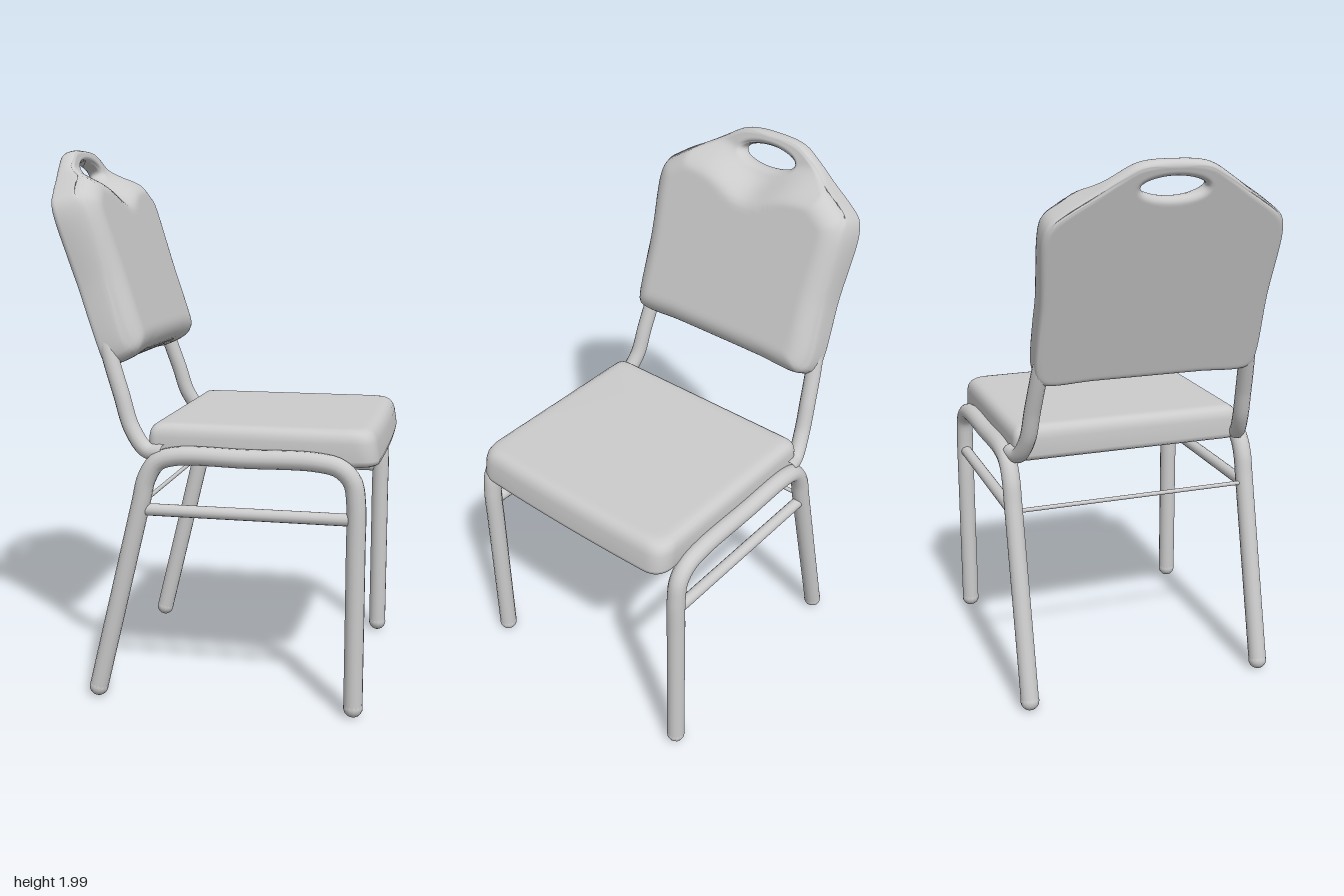
import * as THREE from 'three';

const grey = new THREE.MeshStandardMaterial({ color: 0xcccccc });

// Smooth skin over a list of rings with equal point counts; closed joins the last ring to the first
function skin(rings, closed) {
  const n = rings[0].length, index = [];
  for (let j = 0; j < rings.length - (closed ? 0 : 1); j++) {
    const k = (j + 1) % rings.length;
    for (let i = 0; i < n; i++) {
      const m = (i + 1) % n;
      index.push(j * n + i, k * n + i, k * n + m, j * n + i, k * n + m, j * n + m);
    }
  }
  const geometry = new THREE.BufferGeometry();
  geometry.setAttribute('position', new THREE.Float32BufferAttribute(rings.flat(2), 3));
  geometry.setIndex(index);
  geometry.computeVertexNormals();
  return geometry;
}

// Quarter-ellipse rise from 0 to 1 over the given radius
const round = (e, radius) => Math.sqrt(1 - (1 - Math.min(e / radius, 1)) ** 2);

// Seat cushion: rounded plan with a bowed front, swept through an edge profile with a recessed underside
function seatGeometry() {
  const [x0, x1, w, r0, r1] = [-0.21, 0.614, 0.447, 0.04, 0.08];
  const plan = new THREE.Shape();
  plan.moveTo(x0 + r0, -w);
  plan.lineTo(x1 - r1, -w);
  plan.quadraticCurveTo(x1, -w, x1, -w + r1);
  plan.quadraticCurveTo(x1 + 0.014, 0, x1, w - r1);
  plan.quadraticCurveTo(x1, w, x1 - r1, w);
  plan.lineTo(x0 + r0, w);
  plan.quadraticCurveTo(x0, w, x0, w - r0);
  plan.lineTo(x0, -w + r0);
  plan.quadraticCurveTo(x0, -w, x0 + r0, -w);
  const loop = plan.getPoints(8).slice(0, -1);
  const cx = (x0 + x1) / 2, half = 0.41;
  // [inset, height] from the underside centre, round the edge, to the top centre
  const profile = [[half, 0.917], [0.065, 0.917], [0.055, 0.915], [0.045, 0.895], [0.035, 0.892], [0.016, 0.893],
    [0.005, 0.9], [0, 0.915], [0, 0.975], [0.004, 0.996], [0.012, 1.01], [0.024, 1.019], [0.04, 1.022],
    [0.06, 1.023], [half, 1.023]];
  return skin(profile.map(([inset, y]) => loop.map(p => {
    const k = 1 - inset / half;
    const lean = p.x > 0.45 ? 0.02 * k * (y - 0.89) / 0.13 : 0; // front leans back toward the top
    return [cx + (p.x - cx) * k - lean, y, p.y * k];
  })), false);
}

// Backrest shell: rings run from the hand hole out to the rim over the padded front, then back over the flat rear
function backGeometry() {
  const right = [[0, 0], [0.2, 0], [0.385, 0], [0.41, 0.025], [0.417, 0.3], [0.428, 0.55], [0.412, 0.602],
    [0.37, 0.638], [0.28, 0.698], [0.2, 0.754], [0.125, 0.797], [0, 0.81]];
  const left = right.slice(1, -1).reverse().map(([x, y]) => [-x, y]);
  const curve = new THREE.CatmullRomCurve3([...right, ...left].map(([x, y]) => new THREE.Vector3(x, y, 0)), true);
  const rim = curve.getSpacedPoints(180).slice(0, 180);
  const hy = 0.72;
  const hole = rim.map(p => {
    const a = Math.atan2((p.y - hy) / 0.038, p.x / 0.115);
    return new THREE.Vector3(0.115 * Math.cos(a), hy + 0.038 * Math.sin(a), 0);
  });
  const nearest = (p, points) => Math.sqrt(Math.min(...points.map(q => p.distanceToSquared(q))));

  const steps = 48, front = [], rear = [];
  for (let j = 0; j <= steps; j++) {
    const t = 0.5 - 0.5 * Math.cos(Math.PI * j / steps);
    const ring = rim.map((p, i) => hole[i].clone().lerp(p, t));
    const edge = ring.map(p => (j === 0 || j === steps ? 0 : nearest(p, rim)));
    const bevel = ring.map((p, i) => (j === 0 ? 0 : round(Math.min(edge[i], nearest(p, hole)), 0.022)));
    front.push(ring.map((p, i) => {
      // Padding fades out toward the handle, dipping lower beneath the hole
      const top = 0.75 - 0.07 * Math.exp(-((p.x / 0.13) ** 2));
      const pad = Math.min(round(edge[i], 0.09), THREE.MathUtils.smoothstep(top - p.y, 0, 0.15));
      return [p.x, p.y, 0.022 + 0.04 * bevel[i] + 0.103 * pad];
    }));
    if (j > 0 && j < steps) rear.unshift(ring.map((p, i) => [p.x, p.y, 0.022 - 0.022 * bevel[i]]));
  }
  return skin([...front, ...rear], true);
}

export function createModel() {
  const model = new THREE.Group();
  model.name = 'chair';

  const add = (parent, name, geometry) => {
    const mesh = new THREE.Mesh(geometry, grey);
    mesh.name = name;
    parent.add(mesh);
    return mesh;
  };
  const tube = (parent, name, points, radius, steps = 60) => {
    const path = new THREE.CatmullRomCurve3(points.map(p => new THREE.Vector3(...p)));
    return add(parent, name, new THREE.TubeGeometry(path, steps, radius, 14));
  };

  add(model, 'seat', seatGeometry());

  // Side frames: bent leg tube, feet, stretcher and back post
  for (const s of [1, -1]) {
    const side = new THREE.Group();
    side.name = s > 0 ? 'leftSideFrame' : 'rightSideFrame';
    model.add(side);
    const z = 0.464 * s;
    const bend = [[-0.4, 0.035], [-0.312, 0.4], [-0.23, 0.74], [-0.208, 0.83], [-0.168, 0.89], [-0.1, 0.913],
      [0.15, 0.914], [0.4, 0.913], [0.48, 0.895], [0.525, 0.85], [0.539, 0.77], [0.54, 0.6], [0.54, 0.035]];
    tube(side, 'legs', bend.map(([x, y]) => [x, y, z]), 0.034, 120);
    for (const x of [-0.4, 0.54]) {
      add(side, 'foot', new THREE.SphereGeometry(0.035, 14, 10)).position.set(x, 0.035, z);
    }
    tube(side, 'stretcher', [[-0.23, 0.715, z], [0.54, 0.715, z]], 0.022, 2);
    tube(side, 'backPost', [[-0.15, 0.92, 0.45 * s], [-0.215, 0.926, 0.435 * s], [-0.275, 1.0, 0.418 * s],
      [-0.315, 1.12, 0.408 * s], [-0.35, 1.224, 0.398 * s], [-0.392, 1.36, 0.382 * s]], 0.03);
  }

  // Thin rod between the rear legs
  tube(model, 'rearRod', [[-0.245, 0.722, -0.464], [-0.245, 0.722, 0.464]], 0.008, 2);

  // Leaning backrest: local x across, y up the back, z forward
  const backrest = add(model, 'backrest', backGeometry());
  backrest.position.set(-0.38, 1.215, 0);
  backrest.rotation.set(0, Math.PI / 2, 0.317, 'ZYX');

  return model;
}
